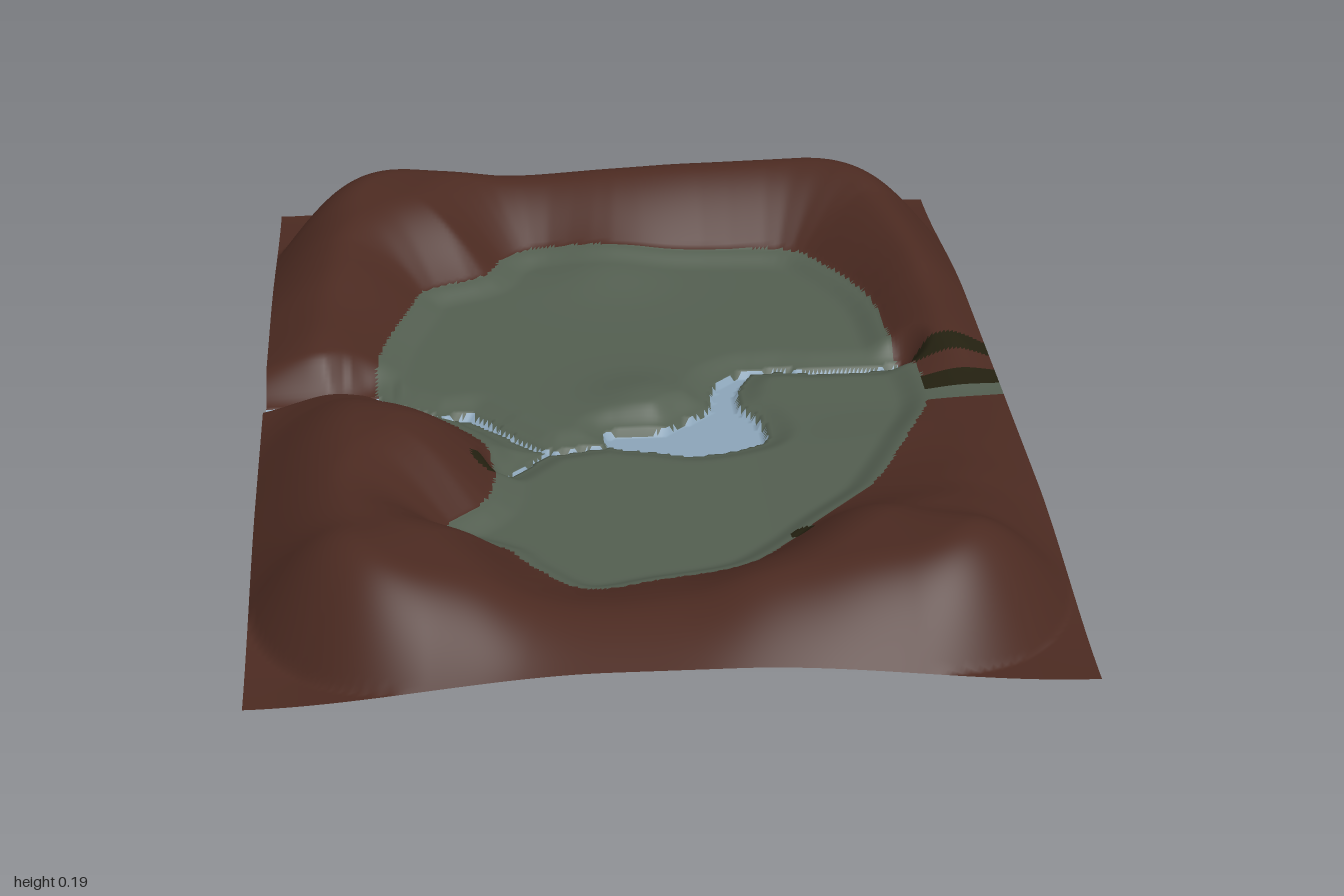
import * as THREE from 'three';

const HALF_X = 0.705, HALF_Z = 1, NX = 176, NZ = 250;

const curve = (pts, closed, n) =>
  new THREE.CatmullRomCurve3(pts.map(([x, z]) => new THREE.Vector3(x, 0, z)), closed, 'centripetal')
    .getPoints(n).map(p => [p.x, p.z]);

// Outline of the valley floor
const valley = curve([
  [-0.17, -0.70], [0, -0.68], [0.25, -0.68], [0.38, -0.66], [0.44, -0.58], [0.51, -0.42], [0.53, -0.2],
  [0.56, -0.1], [0.56, 0.04], [0.5, 0.2], [0.43, 0.35], [0.40, 0.4], [0.3, 0.5], [0.24, 0.57], [0.15, 0.65],
  [0, 0.69], [-0.13, 0.715], [-0.22, 0.63], [-0.26, 0.57], [-0.37, 0.49], [-0.29, 0.38], [-0.28, 0.2],
  [-0.34, 0.1], [-0.44, 0], [-0.49, -0.1], [-0.48, -0.25], [-0.42, -0.45], [-0.40, -0.51], [-0.27, -0.58],
  [-0.23, -0.66]], true, 120);

// Pond outline, a small pool and the narrow streams joining them
const pond = curve([
  [-0.05, 0.125], [-0.06, 0.07], [0.05, 0.06], [0.10, 0.02], [0.145, -0.02], [0.155, -0.08], [0.18, -0.14],
  [0.24, -0.175], [0.21, -0.1], [0.205, -0.03], [0.235, 0.03], [0.24, 0.12], [0.19, 0.15], [0.1, 0.17],
  [0.03, 0.15]], true, 60);
const pool = [[-0.37, -0.02], [-0.31, -0.03], [-0.27, 0.02], [-0.25, 0.06], [-0.28, 0.04], [-0.31, 0.005]];
const stream = [
  [-0.72, -0.06], [-0.57, -0.06], [-0.50, -0.1], [-0.44, -0.05], [-0.37, -0.01], [-0.3, 0.0], [-0.25, 0.06],
  [-0.2, 0.12], [-0.16, 0.145], [-0.1, 0.13], [-0.04, 0.12]];
const inlet = [[0.22, -0.165], [0.3, -0.175], [0.36, -0.165], [0.48, -0.165], [0.535, -0.175]];
const branch = [[-0.17, 0.145], [-0.21, 0.19], [-0.245, 0.23]];

// Ridge heights around the rim: x, z, height
const ridge = [
  [-0.54, 0.81, 0.205], [-0.36, 0.82, 0.165], [-0.18, 0.82, 0.10], [0, 0.82, 0.10], [0.18, 0.82, 0.15],
  [0.36, 0.82, 0.175], [0.54, 0.81, 0.205], [0.58, 0.62, 0.135], [0.6, 0.45, 0.1], [0.62, 0.28, 0.075],
  [0.63, 0.12, 0.06], [0.63, -0.03, 0.05], [0.63, -0.15, 0.105], [0.62, -0.33, 0.105], [0.6, -0.5, 0.14],
  [0.57, -0.65, 0.165], [0.53, -0.82, 0.195], [0.36, -0.84, 0.187], [0.18, -0.85, 0.182], [0, -0.85, 0.173],
  [-0.18, -0.85, 0.157], [-0.36, -0.84, 0.18], [-0.53, -0.83, 0.2], [-0.56, -0.65, 0.165], [-0.56, -0.48, 0.14],
  [-0.58, -0.32, 0.105], [-0.59, -0.18, 0.11], [-0.6, -0.05, 0.055], [-0.56, 0.07, 0.12], [-0.53, 0.2, 0.17],
  [-0.53, 0.4, 0.168], [-0.53, 0.6, 0.168]];

const clamp = t => Math.min(1, Math.max(0, t));
const smooth = t => { t = clamp(t); return t * t * (3 - 2 * t); };
const swell = t => Math.sin(clamp(t) * Math.PI / 2);
const mix = (a, b, t) => a + (b - a) * t;

function lineDistance(pts, x, z, closed) {
  let best = Infinity;
  for (let i = closed ? 0 : 1; i < pts.length; i++) {
    const [ax, az] = pts[(i || pts.length) - 1], [bx, bz] = pts[i];
    const dx = bx - ax, dz = bz - az;
    const t = clamp(((x - ax) * dx + (z - az) * dz) / (dx * dx + dz * dz || 1));
    best = Math.min(best, Math.hypot(x - ax - dx * t, z - az - dz * t));
  }
  return best;
}

// Distance to an outline, negative inside
function signedDistance(pts, x, z) {
  let inside = false;
  for (let i = 0, j = pts.length - 1; i < pts.length; j = i++) {
    const [ax, az] = pts[i], [bx, bz] = pts[j];
    if ((az > z) !== (bz > z) && x < (bx - ax) * (z - az) / (bz - az) + ax) inside = !inside;
  }
  return (inside ? -1 : 1) * lineDistance(pts, x, z, true);
}

// Distance to the nearest water, negative inside it
const waterDistance = (x, z) => Math.min(
  signedDistance(pond, x, z), signedDistance(pool, x, z),
  lineDistance(stream, x, z) - (x < -0.55 ? 0.01 : 0.005),
  lineDistance(inlet, x, z) - 0.005,
  lineDistance(branch, x, z) - 0.003);

function ridgeHeight(x, z) {
  let sum = 0, weight = 0;
  for (const [rx, rz, h] of ridge) {
    const w = Math.exp(-((x - rx) ** 2 + (z - rz) ** 2) / 0.014) + 1e-9;
    sum += w * h; weight += w;
  }
  return sum / weight;
}

// Dry land: flat valley, raised rim, low outer border
function landHeight(x, z) {
  const d = signedDistance(valley, x, z);
  const ex = HALF_X - Math.abs(x), ez = HALF_Z - Math.abs(z), r = 0.3;
  const e = ex < r && ez < r ? r - Math.hypot(r - ex, r - ez) : Math.min(ex, ez);

  const mound = 0.022 * Math.exp(-((x - 0.02) ** 2 + (z + 0.03) ** 2) / 0.009);
  const spur = 0.025 * Math.exp(-((x + 0.02) ** 2 + (z + 0.62) ** 2) / 0.014);
  const eastRise = 0.012 * smooth((x - 0.2) / 0.25) * smooth(z / 0.2);
  const inner = 0.029 + 0.022 * smooth(1 + d / 0.06) + mound + spur + eastRise;
  if (d <= 0) return inner;

  const border = 0.014 + 0.046 * smooth(Math.max(ex, ez) / 0.6);
  const gap = d + Math.max(e, 0);
  const outer = mix(border, ridgeHeight(x, z), swell(e / Math.min(0.18, 0.55 * gap + 0.01)));
  return mix(inner, outer, swell(d / Math.min(0.2, 0.6 * gap + 0.01)));
}

// Land sinks towards the water, which lies flat at the bottom
function height(x, z) {
  const water = waterDistance(x, z);
  if (water < 0) return 0;
  const bank = smooth(water / (x < -0.45 ? 0.09 : 0.06));
  return mix(0.013, landHeight(x, z), bank);
}

// Which surface covers a point
function surfaceAt(x, z) {
  if (waterDistance(x, z) < 0.001) return 'water';
  if (Math.hypot(x + 0.295, z - 0.27) < 0.023 || Math.hypot(x - 0.26, z - 0.545) < 0.022) return 'track';
  if (x > 0.563 && ((z > -0.172 && z < -0.117) || (z > -0.058 && z < 0.0))) return 'track';
  if (x > 0.54 && z >= 0 && z < 0.05) return 'grass';
  return signedDistance(valley, x, z) < 0 ? 'grass' : 'earth';
}

export function createModel() {
  const material = (name, color) =>
    Object.assign(new THREE.MeshStandardMaterial({ color, side: THREE.DoubleSide }), { name });
  const parts = {
    earth: ['hillRim', material('brown earth', 0x4b2a21)],
    grass: ['valleyFloor', material('grey green grass', 0x535e50)],
    water: ['pondAndStream', material('pale blue water', 0x8ba4b8)],
    track: ['tracksAndCaves', material('dark olive track', 0x232010)],
  };

  // One height grid shared by every surface
  const positions = [], indices = { earth: [], grass: [], water: [], track: [] };
  for (let j = 0; j <= NZ; j++) {
    for (let i = 0; i <= NX; i++) {
      const x = (i / NX * 2 - 1) * HALF_X, z = (j / NZ * 2 - 1) * HALF_Z;
      positions.push(x, height(x, z), z);
    }
  }
  const all = [];
  const addTriangle = (...tri) => {
    const centre = k => (positions[tri[0] * 3 + k] + positions[tri[1] * 3 + k] + positions[tri[2] * 3 + k]) / 3;
    indices[surfaceAt(centre(0), centre(2))].push(...tri);
    all.push(...tri);
  };
  for (let j = 0; j < NZ; j++) {
    for (let i = 0; i < NX; i++) {
      const a = j * (NX + 1) + i, b = a + 1, c = a + NX + 1, d = c + 1;
      addTriangle(a, c, b);
      addTriangle(b, c, d);
    }
  }
  const land = new THREE.BufferGeometry();
  land.setAttribute('position', new THREE.Float32BufferAttribute(positions, 3));
  land.setIndex(all);
  land.computeVertexNormals();

  // Each surface is its own mesh, with normals continuous across the joins
  const group = new THREE.Group();
  group.name = 'valleyTerrain';
  for (const key of Object.keys(parts)) {
    const geometry = new THREE.BufferGeometry();
    geometry.setAttribute('position', land.attributes.position);
    geometry.setAttribute('normal', land.attributes.normal);
    geometry.setIndex(indices[key]);
    const mesh = new THREE.Mesh(geometry, parts[key][1]);
    mesh.name = parts[key][0];
    group.add(mesh);
  }
  return group;
}
